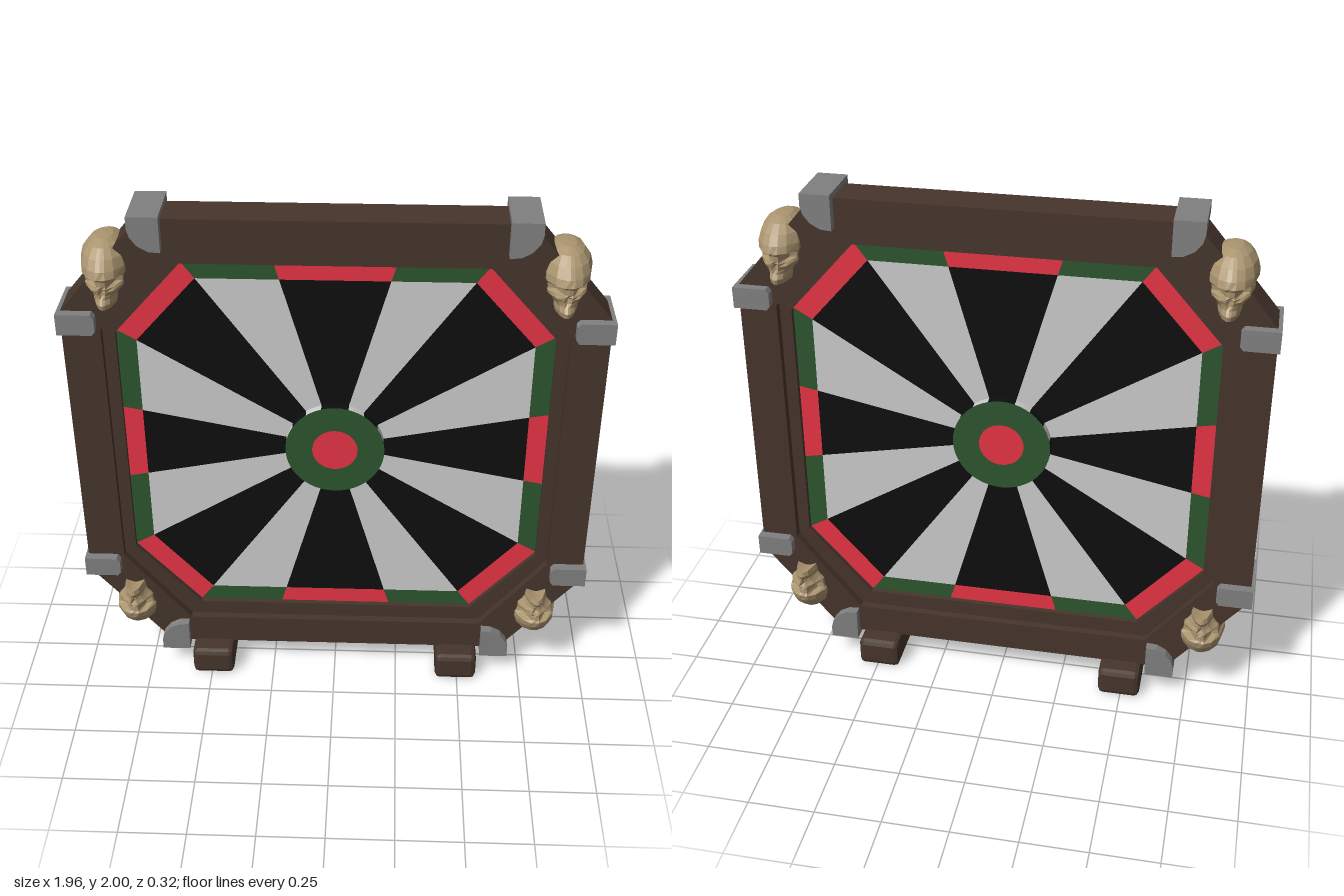
import * as THREE from 'three';
import { RoundedBoxGeometry } from 'three/addons/geometries/RoundedBoxGeometry.js';

const mat = (color) => new THREE.MeshStandardMaterial({ color, flatShading: true });
const wood = mat(0x46352c), metal = mat(0x808080), bone = mat(0xab9570);
const red = mat(0xe63444), green = mat(0x2c562e), black = mat(0x0e0e0e), pale = mat(0xcccccc);

const CENTRE_Y = 1.045;
const HUB_R = 0.185, HUB_Z = 0.055, BOARD_Z = 0.025;

function add(parent, name, geometry, material) {
  const mesh = new THREE.Mesh(geometry, material);
  mesh.name = name;
  parent.add(mesh);
  return mesh;
}

const vectors = (points) => points.map(([x, y]) => new THREE.Vector2(x, y));

// Flat outline (with optional hole) extruded evenly to both sides of z = 0
function slab(points, halfDepth, hole) {
  const shape = new THREE.Shape(vectors(points));
  if (hole) shape.holes.push(new THREE.Path(vectors(hole)));
  const g = new THREE.ExtrudeGeometry(shape, { depth: halfDepth * 2, bevelEnabled: false });
  return g.translate(0, 0, -halfDepth);
}

// Repeats the points of one quadrant around the centre, counter-clockwise
function mirrorQuadrant(q) {
  const r = [...q].reverse();
  return [
    ...q,
    ...r.map(([x, y]) => [-x, y]),
    ...q.map(([x, y]) => [-x, -y]),
    ...r.map(([x, y]) => [x, -y]),
  ];
}

// Double-faced skull lofted from horizontal rings: [y, half width, half depth, eye push, nose push]
function skullGeometry() {
  const levels = [
    [-0.11, 0.043, 0.155, 0, 0],
    [-0.092, 0.048, 0.16, 0, 0],
    [-0.075, 0.05, 0.148, 0, 0],
    [-0.06, 0.062, 0.146, 0, 0.012],
    [-0.045, 0.078, 0.15, 0, 0.022],
    [-0.034, 0.08, 0.152, 0.012, 0.008],
    [-0.025, 0.078, 0.148, 0.038, 0],
    [-0.006, 0.082, 0.149, 0.036, 0],
    [0.004, 0.089, 0.157, 0, 0.004],
    [0.03, 0.09, 0.147, 0, 0],
    [0.065, 0.08, 0.124, 0, 0],
    [0.094, 0.058, 0.09, 0, 0],
    [0.11, 0.03, 0.05, 0, 0],
  ];
  const fx = [0, 0.18, 0.5, 0.82, 1];
  const fz = [1, 0.98, 0.87, 0.58, 0];
  const N = 16, pos = [], index = [];
  for (const [y, w, d, eye, nose] of levels) {
    for (let i = 0; i < N; i++) {
      const quarter = Math.floor(i / 4), step = i % 4;
      const k = quarter % 2 ? 4 - step : step;
      const sx = quarter < 2 ? 1 : -1;
      const sz = quarter === 0 || quarter === 3 ? 1 : -1;
      const push = k === 2 ? eye : k === 0 ? nose : 0;
      pos.push(sx * fx[k] * w, y, sz * (fz[k] * d - push));
    }
  }
  const last = levels.length - 1;
  for (let j = 0; j < last; j++) {
    for (let i = 0; i < N; i++) {
      const a = j * N + i, b = j * N + ((i + 1) % N);
      index.push(a, b, b + N, a, b + N, a + N);
    }
  }
  // Caps under the teeth and on the crown
  const low = pos.length / 3;
  pos.push(0, -0.085, 0, 0, 0.113, 0);
  for (let i = 0; i < N; i++) {
    const n = (i + 1) % N;
    index.push(low, n, i, low + 1, last * N + i, last * N + n);
  }
  const g = new THREE.BufferGeometry();
  g.setAttribute('position', new THREE.Float32BufferAttribute(pos, 3));
  g.setIndex(index);
  const flat = g.toNonIndexed();
  flat.computeVertexNormals();
  return flat;
}

// Sixteen alternating sectors with a coloured border and a raised hub
function buildBoard() {
  const board = new THREE.Group();
  board.name = 'board';
  const rim = mirrorQuadrant([[0.785, 0.155], [0.785, 0.48], [0.54, 0.755], [0.215, 0.755]]);
  const inner = rim.map(([x, y]) => [x * 0.91, y * 0.914]);
  rim.forEach((p, i) => {
    const n = (i + 1) % rim.length;
    const fill = i % 2 ? black : pale;
    add(board, 'sector', slab([[0, 0], inner[i], inner[n]], BOARD_Z), fill);
    add(board, 'borderSegment', slab([inner[i], p, rim[n], inner[n]], BOARD_Z), i % 2 ? red : green);

    // Hub wall follows the sector colours
    const a = Math.atan2(inner[i][1], inner[i][0]);
    let span = Math.atan2(inner[n][1], inner[n][0]) - a;
    if (span < 0) span += Math.PI * 2;
    const wall = new THREE.CylinderGeometry(HUB_R, HUB_R, HUB_Z * 2, 4, 1, true, a + Math.PI / 2, span);
    add(board, 'hubWall', wall.rotateX(Math.PI / 2), fill);
  });
  for (const turn of [0, Math.PI]) {
    const ring = new THREE.RingGeometry(0.085, HUB_R, 48).translate(0, 0, HUB_Z);
    const dot = new THREE.CircleGeometry(0.085, 48).translate(0, 0, HUB_Z);
    add(board, 'hubRing', ring.rotateY(turn), green);
    add(board, 'hubCentre', dot.rotateY(turn), red);
  }
  return board;
}

// Two metal clips and a skull
function buildCorner(skull) {
  const corner = new THREE.Group();
  corner.name = 'corner';
  add(corner, 'endClip', slab([
    [0.59, 0.955], [0.59, 0.825], [0.63, 0.828], [0.667, 0.848], [0.692, 0.88], [0.70, 0.91], [0.70, 0.955],
  ], 0.11), metal);
  add(corner, 'sideClip', slab([
    [0.98, 0.50], [0.98, 0.58], [0.855, 0.58], [0.843, 0.565], [0.843, 0.515], [0.855, 0.50],
  ], 0.11), metal);
  add(corner, 'skull', skull, bone).position.set(0.796, 0.735, 0);
  return corner;
}

export function createModel() {
  const model = new THREE.Group();
  model.name = 'targetBoard';
  const body = new THREE.Group();
  body.name = 'body';
  body.position.y = CENTRE_Y;
  model.add(body);

  // Outer frame and the recessed inner moulding
  const outer = mirrorQuadrant([[0.97, 0.575], [0.666, 0.935]]);
  const middle = mirrorQuadrant([[0.83, 0.505], [0.58, 0.815]]);
  const opening = mirrorQuadrant([[0.785, 0.48], [0.54, 0.755]]);
  add(body, 'frame', slab(outer, 0.075, middle), wood);
  add(body, 'innerMoulding', slab(middle, 0.045, opening), wood);
  body.add(buildBoard());

  // Half turns carry the same corner to all four places
  const skull = skullGeometry();
  for (const [rx, ry] of [[0, 0], [0, Math.PI], [Math.PI, 0], [Math.PI, Math.PI]]) {
    const corner = buildCorner(skull);
    corner.rotation.set(rx, ry, 0);
    body.add(corner);
  }

  // Feet
  for (const side of [-1, 1]) {
    const foot = add(model, 'foot', new RoundedBoxGeometry(0.165, 0.115, 0.31, 1, 0.02), wood);
    foot.position.set(side * 0.4925, 0.0575, 0);
  }
  return model;
}
